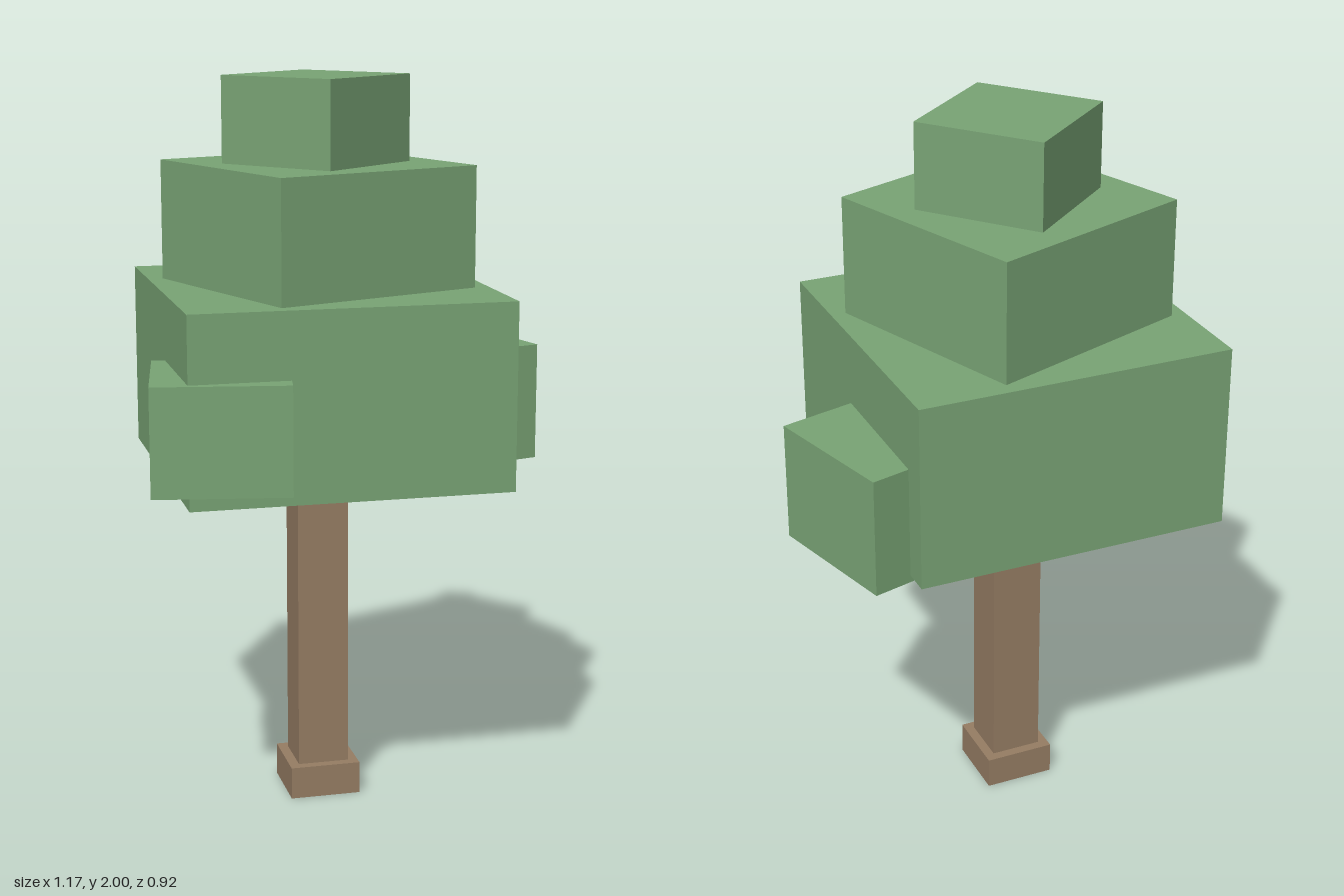
import * as THREE from 'three';

export function createModel() {
  const tree = new THREE.Group();
  tree.name = 'tree';
  const bark = new THREE.MeshStandardMaterial({ color: 0x967d64 });
  bark.name = 'bark brown';
  const leaf = new THREE.MeshStandardMaterial({ color: 0x79a475 });
  leaf.name = 'leaf green';

  // Square block from height y0 to y1, turned about the vertical axis
  function block(name, material, width, y0, y1, turn = 0, x = -0.055, z = -0.033) {
    const mesh = new THREE.Mesh(new THREE.BoxGeometry(width, y1 - y0, width), material);
    mesh.name = name;
    mesh.position.set(x, (y0 + y1) / 2, z);
    mesh.rotation.y = THREE.MathUtils.degToRad(turn);
    tree.add(mesh);
  }

  // Trunk
  block('trunkBase', bark, 0.196, 0, 0.09);
  block('trunk', bark, 0.142, 0.09, 0.94);

  // Stacked crown, each tier twisted further
  block('lowerCrown', leaf, 0.863, 0.94, 1.443);
  block('middleCrown', leaf, 0.61, 1.443, 1.768, 20);
  block('upperCrown', leaf, 0.358, 1.768, 2, 40);

  // Side clumps
  block('leftClump', leaf, 0.392, 0.92, 1.245, 15, 0.342, -0.178);
  block('rightClump', leaf, 0.358, 0.978, 1.265, -10, -0.377, 0.253);

  return tree;
}
